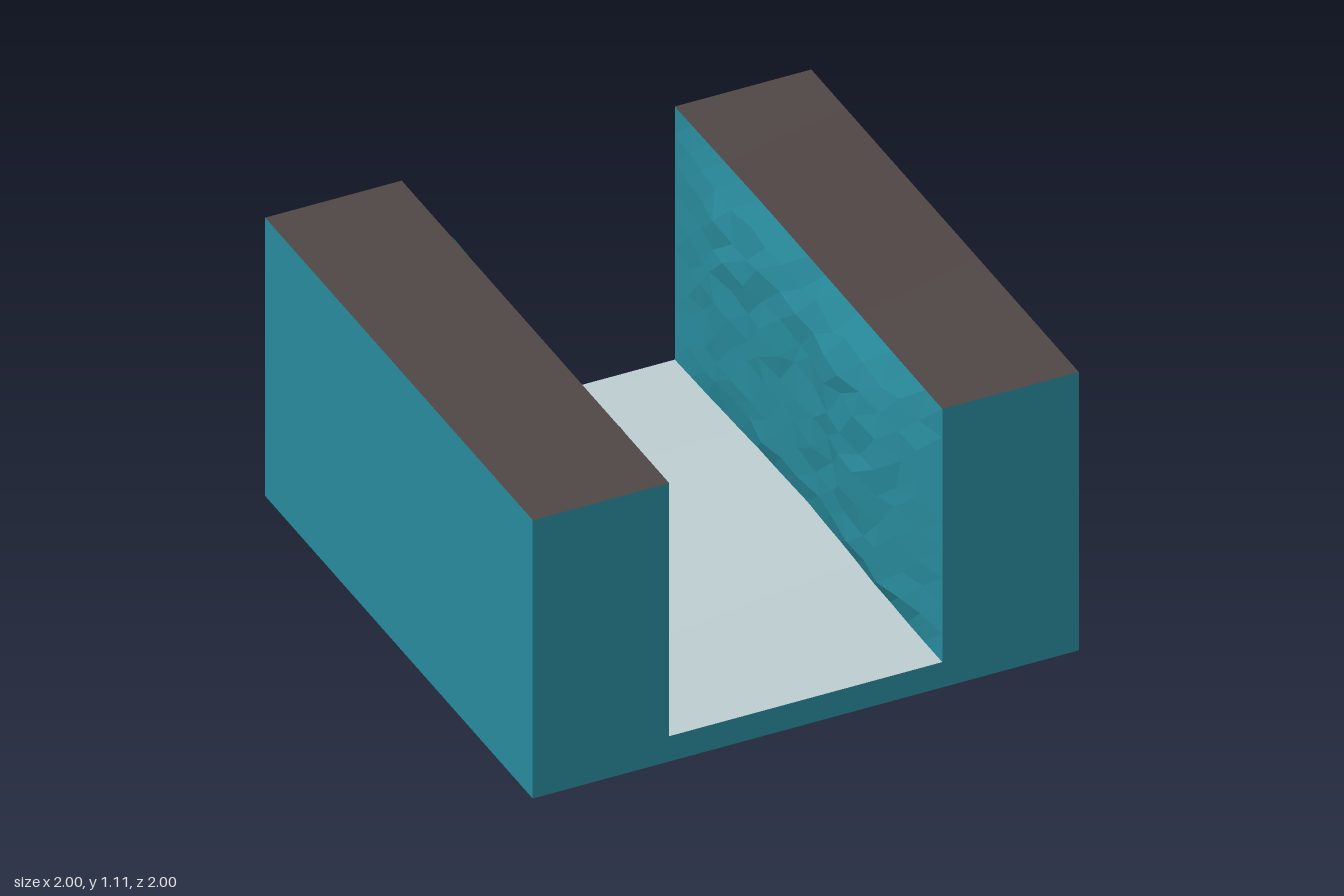
import * as THREE from 'three';

const TOP = 1.1, FLOOR = 0.1, INNER = 0.5;

// Piecewise linear profile through [position, value] pairs
function profile(points, t) {
  for (let i = 1; i < points.length; i++) {
    const [a, va] = points[i - 1], [b, vb] = points[i];
    if (t <= b) return va + (vb - va) * Math.max(0, (t - a) / (b - a));
  }
  return points[points.length - 1][1];
}

// Faceted grid; the front faces along d/du x d/dv
function sheet(nu, nv, point) {
  const pos = [], index = [];
  for (let j = 0; j <= nv; j++)
    for (let i = 0; i <= nu; i++) pos.push(...point(i / nu, j / nv, i, j));
  for (let j = 0; j < nv; j++)
    for (let i = 0; i < nu; i++) {
      const a = j * (nu + 1) + i, b = a + 1, c = a + nu + 1, d = c + 1;
      index.push(a, b, d, a, d, c);
    }
  const g = new THREE.BufferGeometry();
  g.setAttribute('position', new THREE.Float32BufferAttribute(pos, 3));
  g.setIndex(index);
  const flat = g.toNonIndexed();
  flat.computeVertexNormals();
  return flat;
}

function seeded(seed) {
  return () => {
    seed = (seed * 16807) % 2147483647;
    return seed / 2147483647;
  };
}

export function createModel() {
  const model = new THREE.Group();
  model.name = 'canyonTile';
  const material = (name, color) => {
    const m = new THREE.MeshStandardMaterial({ color });
    m.name = name;
    return m;
  };
  const rock = material('tealRock', 0x288a9b);
  const soil = material('brownTop', 0x504646);
  const ground = material('paleFloor', 0xbccdd0);
  const add = (name, geometry, mat) => {
    const mesh = new THREE.Mesh(geometry, mat);
    mesh.name = name;
    model.add(mesh);
  };

  // U-shaped end faces
  const outline = new THREE.Shape([
    [-1, 0], [1, 0], [1, TOP], [INNER, TOP], [INNER, FLOOR],
    [-INNER, FLOOR], [-INNER, TOP], [-1, TOP],
  ].map(([x, y]) => new THREE.Vector2(x, y)));
  add('frontFace', new THREE.ShapeGeometry(outline).translate(0, 0, 1), rock);
  add('backFace', new THREE.ShapeGeometry(outline).rotateY(Math.PI).translate(0, 0, -1), rock);

  // Smooth outer sides and underside
  for (const s of [-1, 1]) {
    add(s > 0 ? 'leftSide' : 'rightSide',
      new THREE.PlaneGeometry(2, TOP).rotateY(s * Math.PI / 2).translate(s, TOP / 2, 0), rock);
  }
  add('underside', new THREE.PlaneGeometry(2, 2).rotateX(Math.PI / 2), rock);

  // Slight rise of the edges where floor and tops meet the rough walls
  const topLift = z => profile([[-1, 0], [-0.35, 0.009], [0.25, 0.006], [1, 0]], z);
  const floorLift = (s, z) => s < 0 ? 0 : profile([[-1, 0], [-0.5, 0.025], [0, 0.04], [0.6, 0.015], [1, 0]], z);

  // Bulge of each wall along its length, and its fade over the height
  const walls = {
    '-1': {
      along: [[-1, 0], [-0.7, 0.068], [-0.4, 0.062], [-0.1, 0.046], [0.07, 0.058], [0.25, 0.032], [0.68, 0.066], [0.83, 0.025], [1, 0]],
      up: [[0, 0.1], [0.08, 0.85], [0.2, 0.65], [0.33, 0.65], [0.48, 1], [0.6, 0.85], [0.78, 1], [0.93, 0.8], [1, 0]],
      seed: 37,
    },
    1: {
      along: [[-1, 0], [-0.55, 0.065], [-0.4, 0.05], [-0.23, 0.065], [0, 0.055], [0.2, 0.065], [0.4, 0.09], [0.68, 0.08], [1, 0]],
      up: [[0, 0.1], [0.05, 0.65], [0.2, 0.68], [0.5, 0.85], [0.76, 1], [0.88, 0.6], [1, 0]],
      seed: 911,
    },
  };

  for (const s of [-1, 1]) {
    const { along, up, seed } = walls[s];
    const random = seeded(seed);
    const side = s > 0 ? 'left' : 'right';

    // Rough rock wall facing the channel
    add(side + 'RockWall', sheet(16, 9, (u, v, i, j) => {
      const r = [random(), random(), random()];
      const loose = i > 0 && i < 16 && j > 0 && j < 9 ? 1 : 0;
      const z0 = s * (2 * u - 1);
      const low = FLOOR + floorLift(s, z0), high = TOP + topLift(z0);
      const z = z0 + loose * (r[0] - 0.5) * 0.05;
      const y = low + (high - low) * v + loose * (r[1] - 0.5) * 0.045;
      const depth = profile(along, z) * profile(up, v) * (0.7 + 0.4 * r[2]);
      return [s * (INNER - (j < 9 ? depth : 0)), y, z];
    }), rock);

    // Flat top; the left one rises a little at its inner edge
    add(side + 'Top', sheet(1, 16, (u, v) => {
      const x = (s > 0 ? INNER : -1) + u * (1 - INNER);
      const z = 1 - 2 * v;
      return [x, TOP + (x === INNER ? topLift(z) : 0), z];
    }), soil);
  }

  // Channel floor
  add('channelFloor', sheet(1, 16, (u, v) => {
    const z = 1 - 2 * v;
    return [(2 * u - 1) * INNER, FLOOR + floorLift(2 * u - 1, z), z];
  }), ground);

  return model;
}
